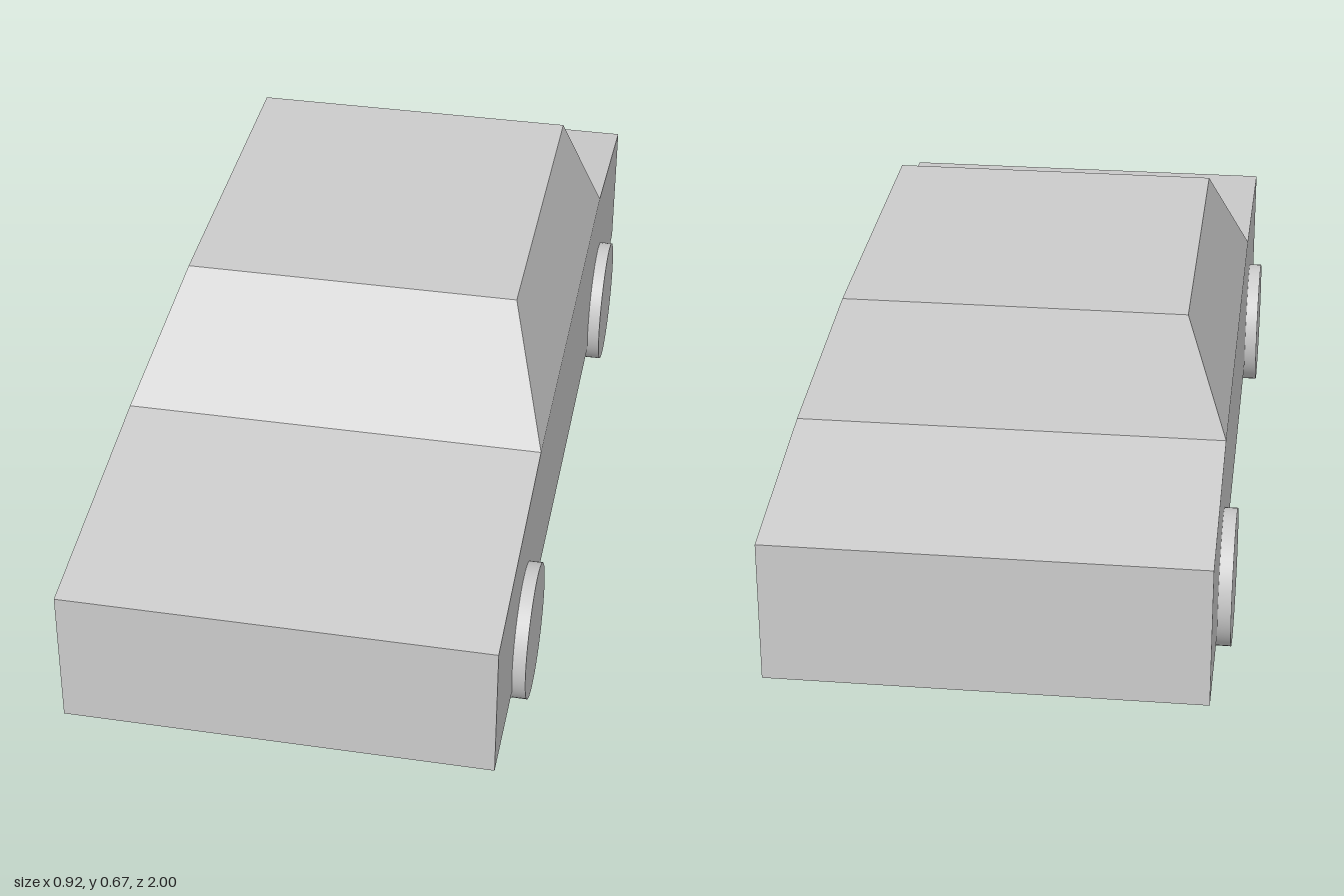
import * as THREE from 'three';

const material = new THREE.MeshStandardMaterial({ color: 0xcccccc, flatShading: true });
const wheelMaterial = new THREE.MeshStandardMaterial({ color: 0xcccccc });

const HALF_WIDTH = 0.433;
const BELT_Y = 0.438;

function addMesh(parent, name, geometry, mat) {
  const mesh = new THREE.Mesh(geometry, mat);
  mesh.name = name;
  parent.add(mesh);
  return mesh;
}

// Lower body: side profile (z, y) extruded across the width
function bodyGeometry() {
  const profile = [[1, 0.085], [1, 0.38], [0.432, BELT_Y], [-0.585, BELT_Y], [-1, 0.38], [-1, 0.085]];
  const shape = new THREE.Shape(profile.map(([z, y]) => new THREE.Vector2(z, y)));
  const geometry = new THREE.ExtrudeGeometry(shape, { depth: HALF_WIDTH * 2, bevelEnabled: false });
  return geometry.rotateY(-Math.PI / 2).translate(HALF_WIDTH, 0, 0);
}

// Cabin: a box whose roof is narrowed and whose ends are raked
function cabinGeometry() {
  const roof = { y: 0.672, x: 0.347, front: 0.235, back: -0.505 };
  const base = { y: BELT_Y, x: HALF_WIDTH, front: 0.432, back: -0.585 };
  const geometry = new THREE.BoxGeometry(1, 1, 1);
  const p = geometry.attributes.position;
  for (let i = 0; i < p.count; i++) {
    const level = p.getY(i) > 0 ? roof : base;
    p.setXYZ(i, Math.sign(p.getX(i)) * level.x, level.y, p.getZ(i) > 0 ? level.front : level.back);
  }
  geometry.computeVertexNormals();
  return geometry;
}

export function createModel() {
  const car = new THREE.Group();
  car.name = 'car';

  addMesh(car, 'body', bodyGeometry(), material);
  addMesh(car, 'cabin', cabinGeometry(), material);

  // Four wheels, partly sunk into the body
  const wheel = new THREE.CylinderGeometry(0.14, 0.14, 0.139, 64).rotateZ(Math.PI / 2);
  for (const [end, z] of [['front', 0.638], ['rear', -0.606]]) {
    for (const [side, sign] of [['Left', 1], ['Right', -1]]) {
      addMesh(car, `${end}${side}Wheel`, wheel, wheelMaterial).position.set(sign * 0.3905, 0.14, z);
    }
  }
  return car;
}
